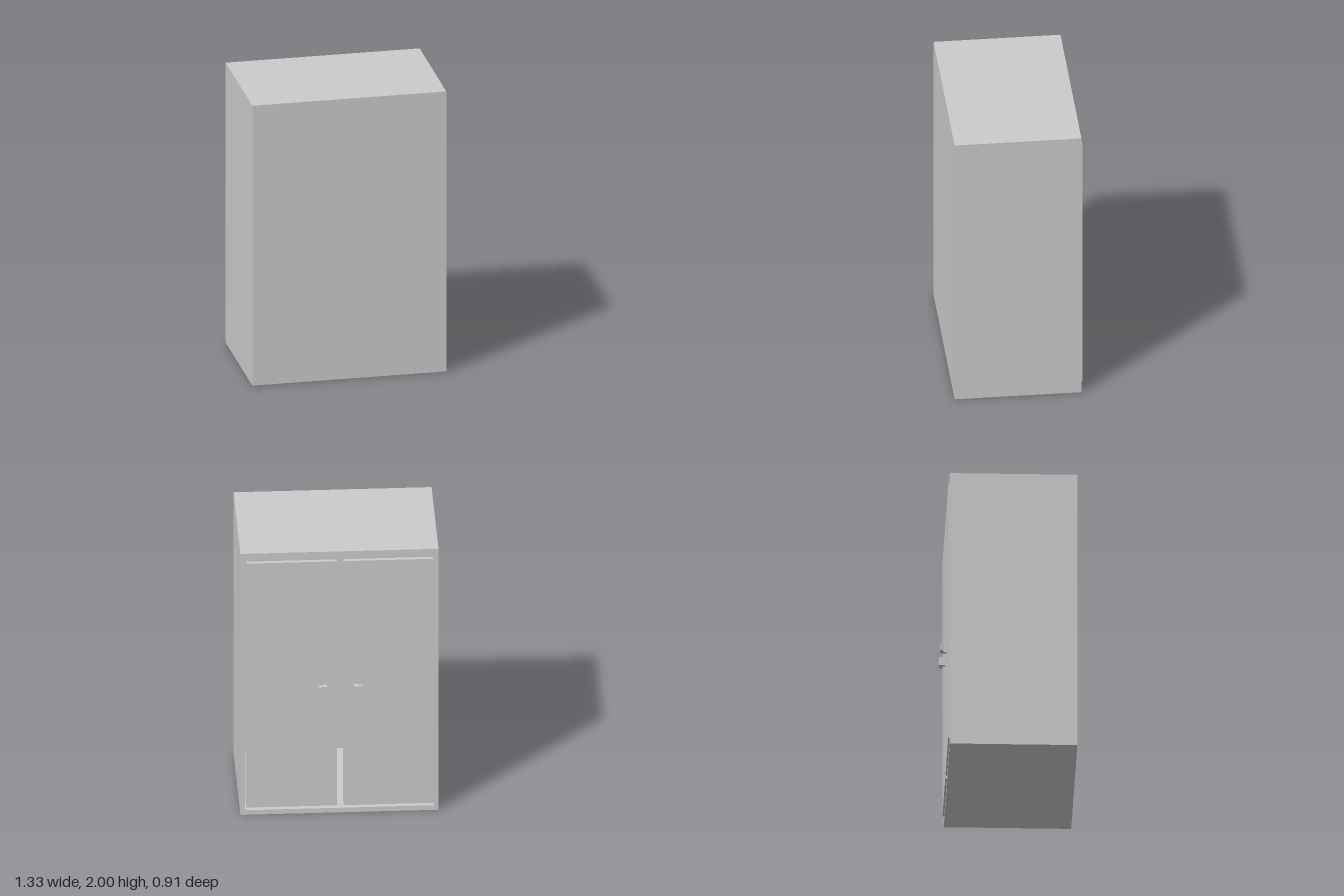
import * as THREE from 'three';

const material = new THREE.MeshStandardMaterial({ color: 0xcccccc, flatShading: true });

function rectangle(Path, x0, x1, y0, y1) {
  return new Path([[x0, y0], [x1, y0], [x1, y1], [x0, y1]].map(([x, y]) => new THREE.Vector2(x, y)));
}

function addMesh(parent, name, geometry) {
  const mesh = new THREE.Mesh(geometry, material);
  mesh.name = name;
  parent.add(mesh);
  return mesh;
}

// Box given by its limits on each axis
function addBox(parent, name, x0, x1, y0, y1, z0, z1) {
  const mesh = addMesh(parent, name, new THREE.BoxGeometry(x1 - x0, y1 - y0, z1 - z0));
  mesh.position.set((x0 + x1) / 2, (y0 + y1) / 2, (z0 + z1) / 2);
}

// L-shaped pull: a stem on the door and a grip with a slanted tip, extruded upwards
function addHandle(parent, name, stemX, side) {
  const points = [[0, 0.415], [0.024, 0.415], [0.024, 0.431], [0.051, 0.431], [0.058, 0.455], [0, 0.455]];
  const shape = new THREE.Shape(points.map(([x, d]) => new THREE.Vector2(stemX + side * x, d)));
  const geometry = new THREE.ExtrudeGeometry(shape, { depth: 0.06, bevelEnabled: false });
  geometry.rotateX(-Math.PI / 2); // depth becomes y, shape y becomes -z
  addMesh(parent, name, geometry).position.y = 0.93;
}

export function createModel() {
  const model = new THREE.Group();
  model.name = 'cupboard';

  // Carcass: four walls around the opening, closed by a panel
  const shell = rectangle(THREE.Shape, -0.665, 0.665, 0, 2);
  shell.holes.push(rectangle(THREE.Path, -0.634, 0.634, 0.035, 1.94));
  const walls = addMesh(model, 'carcassWalls',
    new THREE.ExtrudeGeometry(shell, { depth: 0.855, bevelEnabled: false }));
  walls.position.z = -0.405;
  addBox(model, 'closingPanel', -0.634, 0.634, 0.035, 1.94, 0.42, 0.45);

  // Two thick doors set into the opening, standing slightly proud of it
  addBox(model, 'rightDoor', -0.63, -0.028, 0.06, 1.93, -0.415, -0.305);
  addBox(model, 'leftDoor', 0.018, 0.625, 0.06, 1.93, -0.415, -0.305);

  // Door pulls
  addHandle(model, 'rightHandle', -0.095, -1);
  addHandle(model, 'leftHandle', 0.086, 1);

  return model;
}
